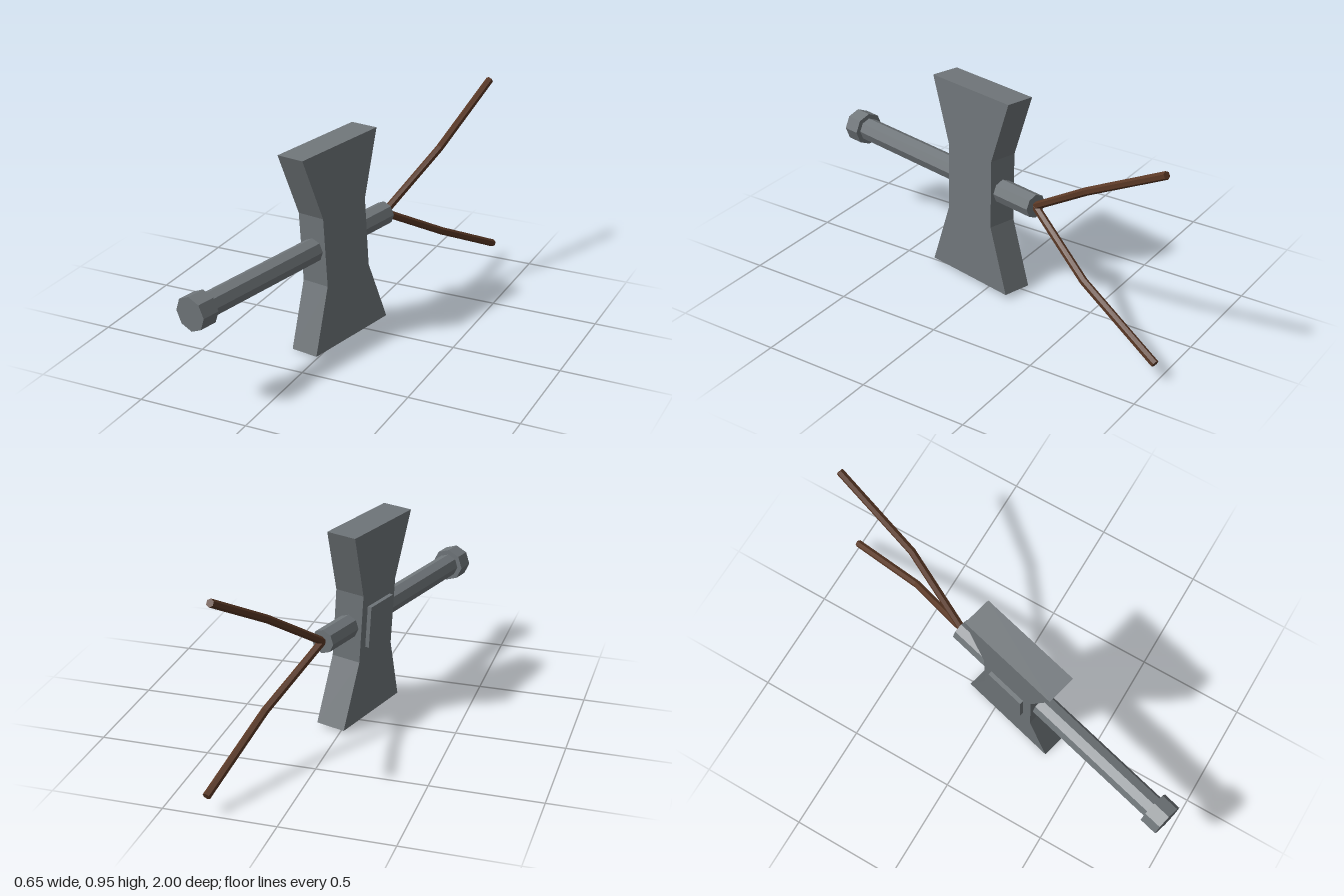
import * as THREE from 'three';

const steel = new THREE.MeshStandardMaterial({ name: 'steel grey', color: 0x70767a, flatShading: true });
const cord = new THREE.MeshStandardMaterial({ name: 'cord brown', color: 0x5a3825, flatShading: true });

function addMesh(parent, name, geometry, material) {
  const mesh = new THREE.Mesh(geometry, material);
  mesh.name = name;
  parent.add(mesh);
  return mesh;
}

// Octagonal rod lying along z between two stations
function rod(radius, z0, z1) {
  return new THREE.CylinderGeometry(radius, radius, z1 - z0, 8)
    .rotateX(Math.PI / 2)
    .translate(0, 0, (z0 + z1) / 2);
}

// Capped six-sided strand bent along a few points
function strand(radius, points) {
  const steps = points.length - 1;
  const geometry = new THREE.CylinderGeometry(radius, radius, 1, 6, steps);
  const frames = points.map((p, i) => {
    const t = points[Math.min(i + 1, steps)].clone().sub(points[Math.max(i - 1, 0)]).normalize();
    const side = new THREE.Vector3(0, 1, 0).cross(t).normalize();
    return { p, side, up: side.clone().cross(t) };
  });
  const pos = geometry.attributes.position;
  for (let i = 0; i < pos.count; i++) {
    const f = frames[Math.round((pos.getY(i) + 0.5) * steps)];
    const v = f.p.clone().addScaledVector(f.side, pos.getX(i)).addScaledVector(f.up, pos.getZ(i));
    pos.setXYZ(i, v.x, v.y, v.z);
  }
  geometry.computeVertexNormals();
  return geometry;
}

export function createModel() {
  const model = new THREE.Group();
  model.name = 'hammer';

  // Tilted frame: z runs along the shaft, y up the head
  const body = new THREE.Group();
  body.name = 'hammerBody';
  const zAxis = new THREE.Vector3(-0.241, -0.033, 0.97).normalize();
  const xAxis = new THREE.Vector3(-0.051, 0.998, 0.022).cross(zAxis).normalize();
  const yAxis = zAxis.clone().cross(xAxis);
  body.quaternion.setFromRotationMatrix(new THREE.Matrix4().makeBasis(xAxis, yAxis, zAxis));
  body.position.set(-0.036, 0.475, 0.108);
  model.add(body);

  // Waisted head, extruded across its thickness
  const half = [[0.247, -0.46], [0.142, -0.16], [0.142, 0.16], [0.247, 0.46]];
  const outline = [...half, ...half.map(([x, y]) => [-x, -y])];
  const shape = new THREE.Shape(outline.map(([x, y]) => new THREE.Vector2(x, y)));
  const head = new THREE.ExtrudeGeometry(shape, { depth: 0.14, bevelEnabled: false })
    .translate(0, 0, -0.07)
    .rotateY(Math.PI / 2);
  addMesh(body, 'head', head, steel);

  // Raised square panel on one face of the head
  addMesh(body, 'sidePanel', new THREE.BoxGeometry(0.03, 0.195, 0.195), steel).position.x = -0.074;

  // Shaft through the head, with an end cap
  addMesh(body, 'shaft', rod(0.055, -0.357, 0.83), steel);
  addMesh(body, 'endCap', rod(0.078, 0.815, 0.9), steel);

  // Two cords spreading from the back of the shaft
  const paths = {
    upperCord: [[0.05, 0.488, -0.235], [0.18, 0.713, -0.565], [0.265, 0.94, -0.972]],
    lowerCord: [[0.05, 0.488, -0.235], [0.198, 0.292, -0.575], [0.307, 0.086, -0.988]],
  };
  for (const [name, path] of Object.entries(paths)) {
    addMesh(model, name, strand(0.018, path.map((p) => new THREE.Vector3(...p))), cord);
  }
  return model;
}
